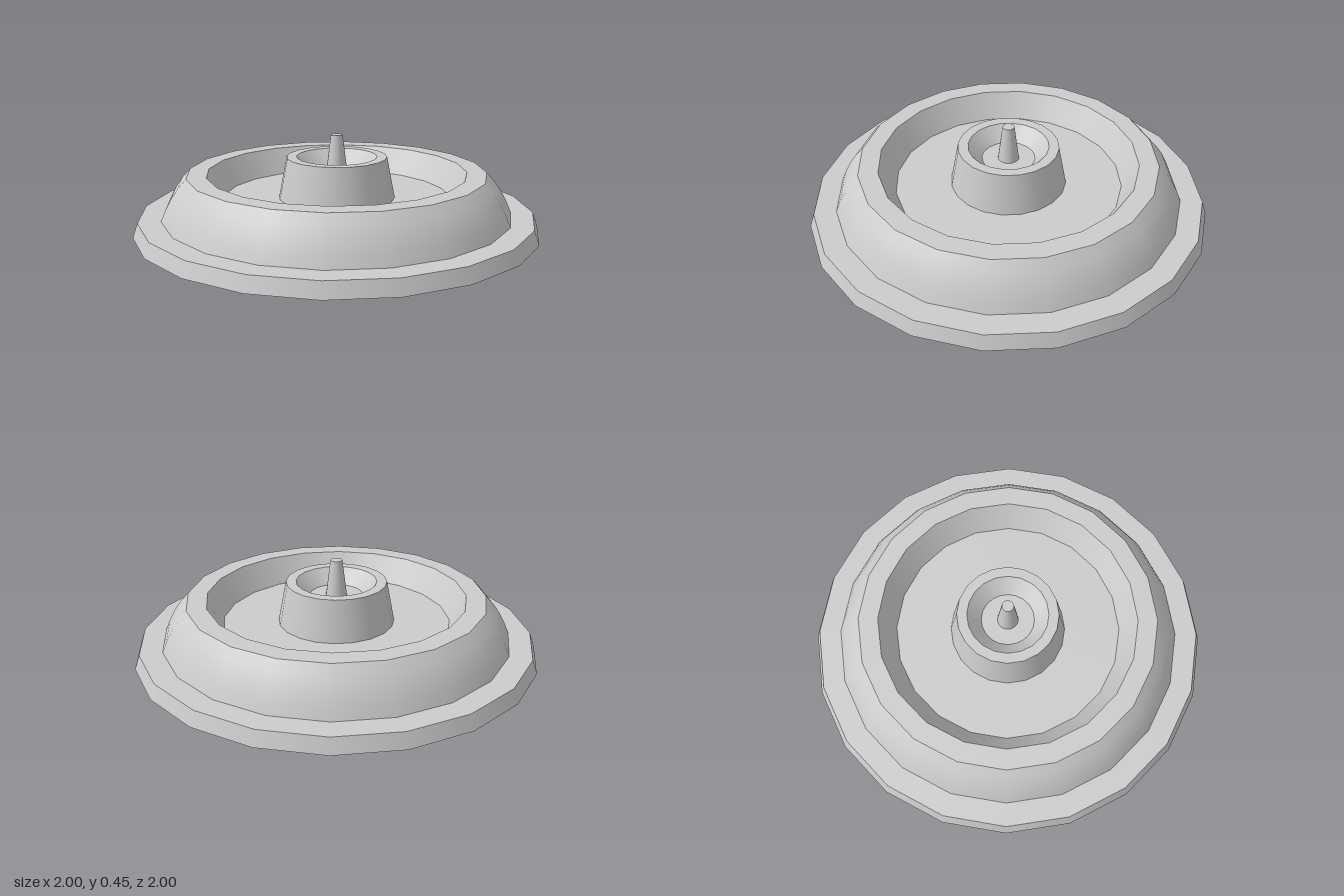
import * as THREE from 'three';

const SIDES = 20;
const TURN = THREE.MathUtils.degToRad(13.2); // rotation of the facets about y

export function createModel() {
  const group = new THREE.Group();
  // Thin open sheet, visible from above and below
  const material = new THREE.MeshStandardMaterial({ color: 0xcccccc, side: THREE.DoubleSide });

  // One revolved band; separate bands keep the circular edges sharp
  const band = (name, ...profile) => {
    const points = profile.map(([r, y]) => new THREE.Vector2(r, y));
    const mesh = new THREE.Mesh(new THREE.LatheGeometry(points, SIDES, TURN), material);
    mesh.name = name;
    group.add(mesh);
  };

  // Base flange
  band('flangeEdge', [1.003, 0], [0.978, 0.07]);
  band('flangeTop', [0.978, 0.07], [0.868, 0.07]);

  // Rounded outer ring and its rim
  band('domeWall', [0.868, 0.07], [0.847, 0.12], [0.818, 0.175], [0.783, 0.225], [0.742, 0.27]);
  band('domeRim', [0.742, 0.27], [0.645, 0.27]);

  // Trough inside the ring
  band('troughWall', [0.645, 0.27], [0.568, 0.138]);
  band('troughFloor', [0.568, 0.138], [0.29, 0.138]);

  // Central cup
  band('cupOuterWall', [0.29, 0.138], [0.25, 0.343]);
  band('cupRim', [0.25, 0.343], [0.2, 0.343]);
  band('cupInnerWall', [0.2, 0.343], [0.132, 0.27]);
  band('cupFloor', [0.132, 0.27], [0.052, 0.27]);

  // Centre spike, hollow underneath
  band('spikeWall', [0.052, 0.27], [0.029, 0.452]);
  band('spikeTip', [0.029, 0.452], [0, 0.452]);

  return group;
}
